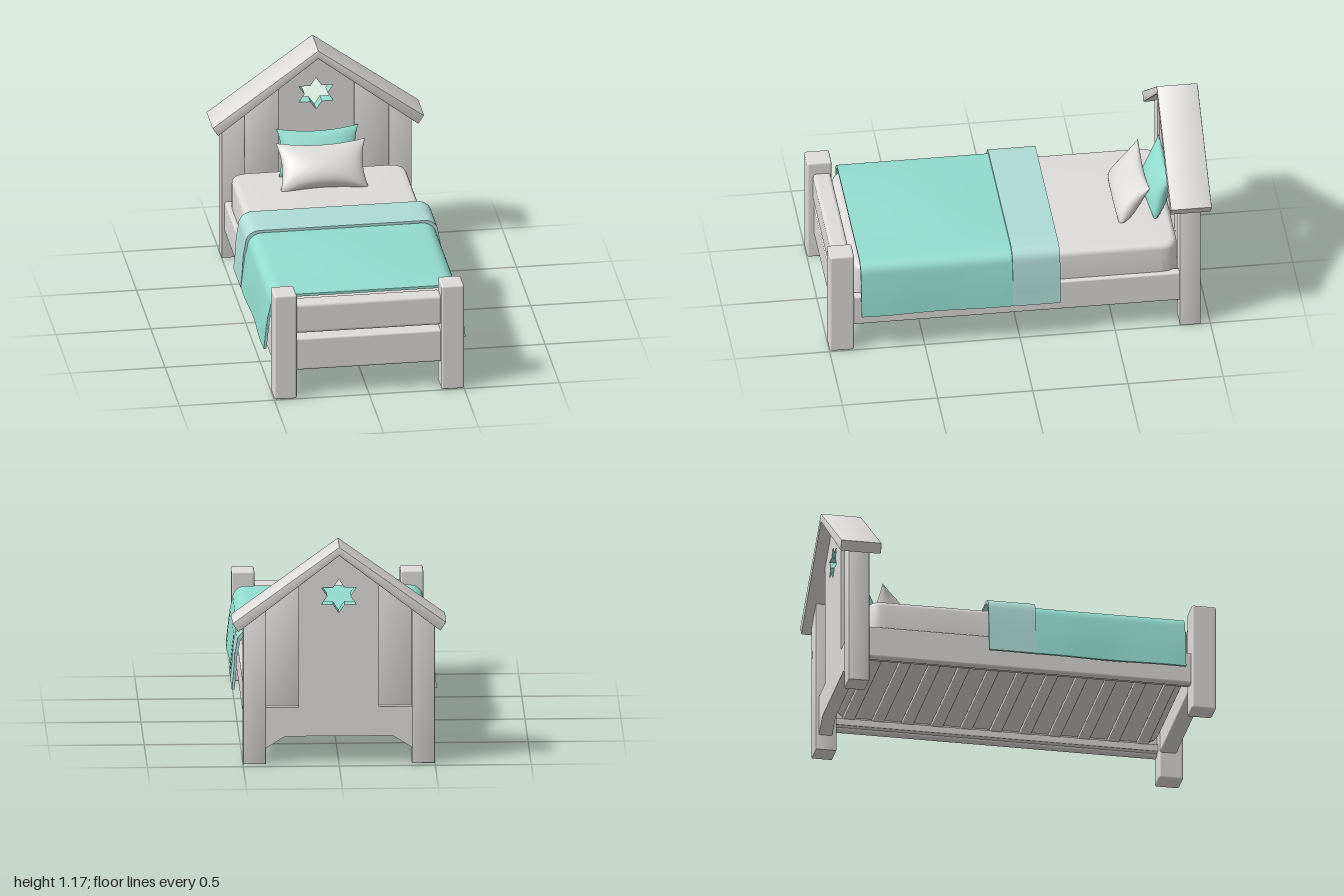
import * as THREE from 'three';
import { toCreasedNormals } from 'three/addons/utils/BufferGeometryUtils.js';
import { RoundedBoxGeometry } from 'three/addons/geometries/RoundedBoxGeometry.js';

const white = new THREE.MeshStandardMaterial({ name: 'warm white', color: 0xdedcda });
const teal = new THREE.MeshStandardMaterial({ name: 'teal', color: 0x92dccd, side: THREE.DoubleSide });
const paleTeal = new THREE.MeshStandardMaterial({ name: 'pale teal', color: 0xaedcd4, side: THREE.DoubleSide });

const STAR_Y = 0.895, STAR_STRETCH = 1.17;
const roofUnder = x => 1.125 - 0.77 * Math.abs(x);
const starRadius = i => (i % 2 ? 0.052 : 0.09);

export function createModel() {
  const bed = new THREE.Group();
  bed.name = 'houseBed';

  const add = (name, geometry, material = white) => {
    const mesh = new THREE.Mesh(geometry, material);
    mesh.name = name;
    bed.add(mesh);
    return mesh;
  };

  // Rounded board given by its limits on each axis
  const board = (name, [x0, x1], [y0, y1], [z0, z1], r = 0.01) =>
    add(name, new RoundedBoxGeometry(x1 - x0, y1 - y0, z1 - z0, 2, r))
      .position.set((x0 + x1) / 2, (y0 + y1) / 2, (z0 + z1) / 2);

  const outline = pts => new THREE.Shape(pts.map(p => new THREE.Vector2(...p)));

  // Upright plate cut from an outline, running from z0 to z1
  const plate = (name, shape, z0, z1, bevel = 0.005) => {
    const g = new THREE.ExtrudeGeometry(shape, {
      depth: z1 - z0 - 2 * bevel, bevelEnabled: bevel > 0, bevelSize: bevel,
      bevelThickness: bevel, bevelOffset: -bevel, bevelSegments: 2, curveSegments: 8,
    });
    g.translate(0, 0, z0 + bevel);
    return add(name, toCreasedNormals(g, 0.7));
  };

  // Posts, side rails and headboard side planks
  for (const s of [-1, 1]) {
    const span = (a, b) => (s > 0 ? [a, b] : [-b, -a]);
    board('frontPost', span(0.38, 0.5), [0, 0.59], [0.87, 1], 0.012);
    plate('backPost', outline([[0.38 * s, 0], [0.5 * s, 0], [0.5 * s, roofUnder(0.5) + 0.01],
      [0.38 * s, roofUnder(0.38) + 0.01]]), -0.95, -0.84);
    board('sideRail', span(0.435, 0.485), [0.148, 0.32], [-0.86, 0.89]);
    board('slatLedge', span(0.4, 0.44), [0.16, 0.2], [-0.86, 0.89], 0.005);
    plate('headboardSidePlank', outline([[0.2 * s, 0.29], [0.385 * s, 0.29],
      [0.385 * s, roofUnder(0.385) + 0.01], [0.2 * s, roofUnder(0.2) + 0.01]]), -0.9, -0.85, 0.003);
  }

  // Headboard: wide base with corner brackets, tall centre and star cut-out
  const centre = outline([[-0.385, 0.08], [-0.28, 0.145], [0.28, 0.145], [0.385, 0.08],
    [0.385, 0.3], [0.21, 0.3], [0.21, roofUnder(0.21) + 0.01], [0, roofUnder(0) + 0.01],
    [-0.21, roofUnder(0.21) + 0.01], [-0.21, 0.3], [-0.385, 0.3]]);
  const star = [];
  for (let i = 0; i < 12; i++) {
    const a = Math.PI / 2 - i * Math.PI / 6;
    star.push(new THREE.Vector2(Math.cos(a) * starRadius(i) * STAR_STRETCH, STAR_Y + Math.sin(a) * starRadius(i)));
  }
  centre.holes.push(new THREE.Path(star));
  plate('headboard', centre, -0.935, -0.865, 0);

  // Coloured lining of the star hole
  const lining = new THREE.CylinderGeometry(1, 1, 0.068, 12, 1, true).toNonIndexed();
  const lp = lining.attributes.position;
  for (let i = 0; i < lp.count; i++) {
    const k = Math.round(Math.atan2(lp.getX(i), lp.getZ(i)) / (Math.PI / 6)) + 12;
    const r = starRadius(k) * 0.985;
    lp.setXYZ(i, lp.getX(i) * r * STAR_STRETCH, lp.getY(i), lp.getZ(i) * r);
  }
  lining.rotateX(-Math.PI / 2);
  lining.computeVertexNormals();
  add('starLining', lining, teal).position.set(0, STAR_Y, -0.9);

  // Gable roof
  plate('roof', outline([[0, 1.172], [-0.557, 0.767], [-0.527, 0.72], [0, 1.125],
    [0.527, 0.72], [0.557, 0.767]]), -1, -0.785);

  // Footboard
  board('footboardLower', [-0.39, 0.39], [0.146, 0.326], [0.875, 0.965], 0.012);
  board('footboardUpper', [-0.39, 0.39], [0.355, 0.524], [0.875, 0.97], 0.02);

  // Slats
  for (let i = 0; i < 11; i++) {
    const z = -0.77 + i * 0.156;
    board('slat', [-0.44, 0.44], [0.195, 0.22], [z - 0.03, z + 0.03], 0.005);
  }

  // Mattress
  const w = 0.46, h = 0.853, r = 0.09;
  const plan = new THREE.Shape();
  plan.moveTo(-w + r, -h).lineTo(w - r, -h).quadraticCurveTo(w, -h, w, -h + r)
    .lineTo(w, h - r).quadraticCurveTo(w, h, w - r, h)
    .lineTo(-w + r, h).quadraticCurveTo(-w, h, -w, h - r)
    .lineTo(-w, -h + r).quadraticCurveTo(-w, -h, -w + r, -h);
  const mattress = new THREE.ExtrudeGeometry(plan, {
    depth: 0.205, bevelSize: 0.03, bevelThickness: 0.03, bevelOffset: -0.03, bevelSegments: 5, curveSegments: 8,
  });
  mattress.rotateX(-Math.PI / 2);
  add('mattress', toCreasedNormals(mattress, 0.9)).position.set(0, 0.25, 0.015);

  // Cloth draped over the mattress: an arched band with a soft hump along z
  const drape = (name, material, z0, z1, hem, shoulder, top, hump) => {
    const arch = (inset) => {
      const half = [[hem - inset, 0.222], [hem - inset - 0.008, 0.3], [shoulder - inset + 0.012, 0.4]];
      for (let i = 0; i <= 6; i++) {
        const a = i / 6 * Math.PI / 2;
        half.push([shoulder - inset - 0.07 * (1 - Math.cos(a)), top - inset - 0.07 * (1 - Math.sin(a))]);
      }
      for (const x of [0.35, 0.25, 0.12]) half.push([x, top - inset]);
      return [...half, [0, top - inset], ...half.map(([x, y]) => [-x, y]).reverse()];
    };
    const g = new THREE.ExtrudeGeometry(outline([...arch(0), ...arch(0.014).reverse()]),
      { depth: z1 - z0, steps: 12, bevelEnabled: false });
    const p = g.attributes.position;
    for (let i = 0; i < p.count; i++) {
      const x = p.getX(i), t = p.getZ(i) / (z1 - z0);
      const middle = Math.max(0, 1 - (x / 0.4) ** 2);
      const side = THREE.MathUtils.clamp((0.45 - p.getY(i)) / 0.2, 0, 1);
      p.setY(i, p.getY(i) + hump * middle * Math.sin(Math.PI * t));
      p.setX(i, x + Math.sign(x) * hump * 0.25 * side * Math.sin(t * 9));
    }
    g.translate(0, 0, z0);
    add(name, toCreasedNormals(g, 0.7), material);
  };
  drape('blanket', teal, -0.02, 0.835, 0.529, 0.498, 0.522, 0.018);
  drape('blanketFold', paleTeal, -0.21, 0.04, 0.534, 0.508, 0.54, 0);

  // Pillow: a ball spread to a square, pinched at the corners and fuller at the bottom
  const pillow = (name, material, width, height, thick, y, z, tilt) => {
    const g = new THREE.SphereGeometry(1, 40, 28);
    g.rotateX(Math.PI / 2);
    const p = g.attributes.position;
    for (let i = 0; i < p.count; i++) {
      const x = p.getX(i), yy = p.getY(i), zz = p.getZ(i);
      const k = Math.hypot(x, yy) / Math.max(Math.abs(x), Math.abs(yy), 1e-6);
      const u = x * k, v = yy * k;
      p.setXYZ(i, u * (1 - 0.1 * (1 - v * v)) * width / 2, v * (1 - 0.17 * (1 - u * u)) * height / 2,
        Math.sign(zz) * Math.pow(Math.max(0, (1 - u * u) * (1 - v * v)), 0.45) * (1 - 0.35 * v) * thick / 2);
    }
    g.computeVertexNormals();
    const mesh = add(name, g, material);
    mesh.position.set(0, y, z);
    mesh.rotation.x = tilt;
  };
  pillow('frontPillow', white, 0.47, 0.27, 0.14, 0.58, -0.64, -0.62);
  pillow('backPillow', teal, 0.43, 0.26, 0.12, 0.6, -0.787, -0.3);

  return bed;
}
